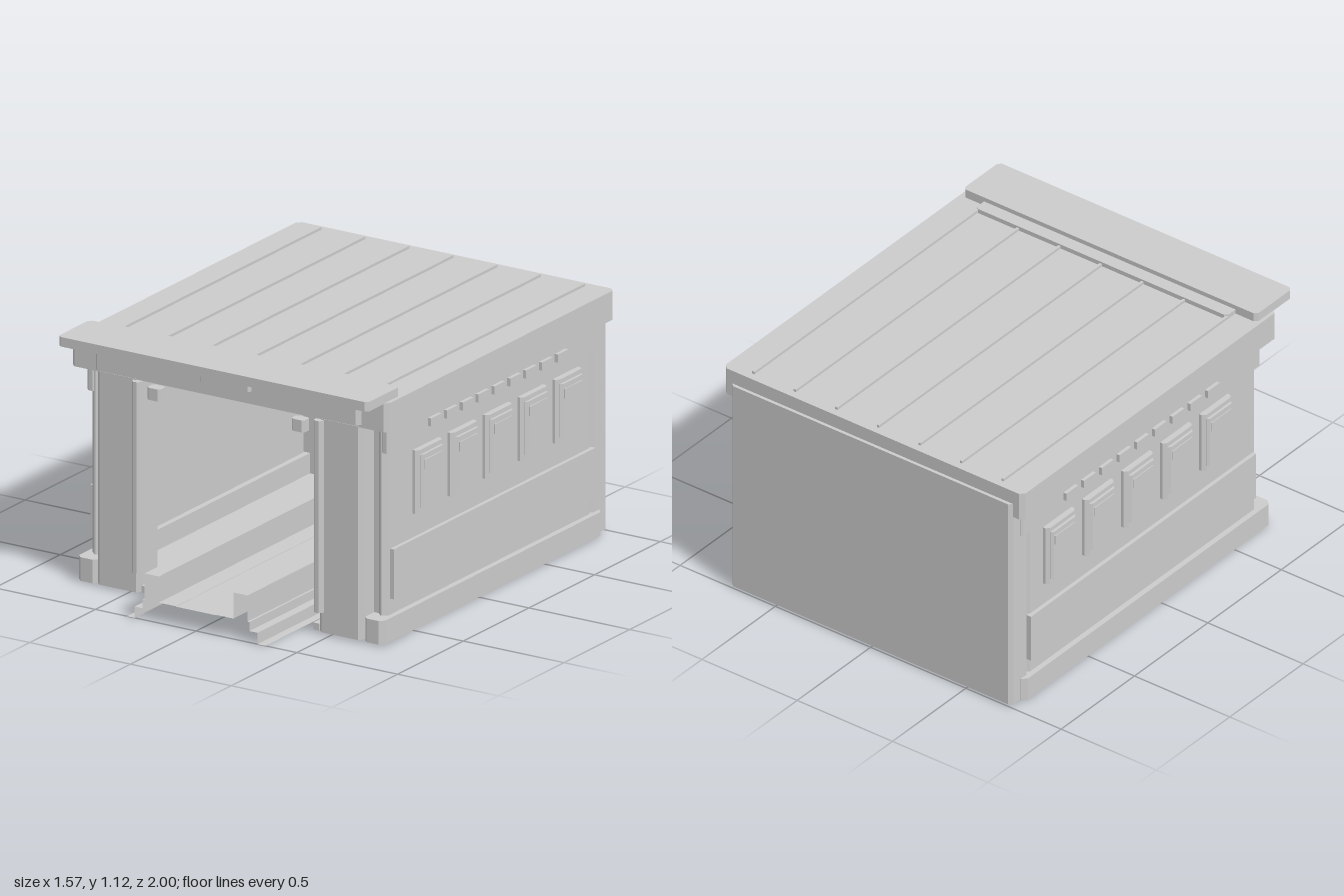
import * as THREE from 'three';

export function createModel() {
  const root = new THREE.Group();
  root.name = 'depotShed';
  const grey = new THREE.MeshStandardMaterial({ color: 0xcccccc, side: THREE.DoubleSide });
  grey.name = 'plainGrey';

  const add = (name, geo, parent = root) => {
    const m = new THREE.Mesh(geo, grey);
    m.name = name;
    parent.add(m);
  };
  // Box from its minimum and maximum on each axis
  const box = (name, x0, x1, y0, y1, z0, z1, parent) => {
    const g = new THREE.BoxGeometry(x1 - x0, y1 - y0, z1 - z0);
    g.translate((x0 + x1) / 2, (y0 + y1) / 2, (z0 + z1) / 2);
    add(name, g, parent);
  };
  // Upright block whose vertical edges are cut by c
  const slab = (name, x0, x1, y0, y1, z0, z1, c, parent) => {
    const s = new THREE.Shape([
      [x0 + c, -z1], [x1 - c, -z1], [x1, -z1 + c], [x1, -z0 - c],
      [x1 - c, -z0], [x0 + c, -z0], [x0, -z0 - c], [x0, -z1 + c],
    ].map(([x, y]) => new THREE.Vector2(x, y)));
    const g = new THREE.ExtrudeGeometry(s, { depth: y1 - y0, bevelEnabled: false });
    g.rotateX(-Math.PI / 2).translate(0, y0, 0);
    add(name, g, parent);
  };

  // Roof, ribs and front parapet
  slab('roof', -0.787, 0.787, 0.947, 1.075, -0.985, 0.75, 0.02);
  slab('roofFascia', -0.658, 0.658, 0.96, 1.075, 0.72, 0.77, 0.016);
  for (let i = -3; i <= 3; i++)
    box('roofRib', i * 0.218 - 0.006, i * 0.218 + 0.006, 1.075, 1.087, -0.95, 0.6);
  slab('parapetStep', -0.66, 0.66, 1.075, 1.095, 0.57, 0.7, 0.015);
  slab('parapet', -0.77, 0.77, 1.073, 1.115, 0.63, 0.875, 0.015);
  slab('blankSign', -0.125, 0.125, 1.012, 1.055, 0.76, 0.788, 0.008);

  // Back wall with end stop
  slab('backWall', -0.738, 0.738, 0.01, 1.012, -1, -0.88, 0.016);
  slab('endStop', -0.247, 0.247, 0.08, 0.3, -0.885, -0.84, 0.01);

  // One side of the building, built at +x
  const buildSide = () => {
    const side = new THREE.Group();
    slab('sideWall', 0.685, 0.735, 0.01, 0.95, -0.89, 0.682, 0.022, side);
    box('sideFloor', 0.44, 0.735, 0.005, 0.02, -0.89, 0.7, side);
    box('floorKerb', 0.412, 0.44, 0.01, 0.04, -0.88, 0.74, side);
    slab('frontPillar', 0.44, 0.662, 0.01, 0.95, 0.6, 0.752, 0.02, side);
    box('pillarReturn', 0.62, 0.71, 0.01, 0.95, 0.61, 0.66, side);
    slab('doorJamb', 0.43, 0.472, 0.1, 0.945, 0.66, 0.775, 0.012, side);
    slab('plinth', 0.66, 0.76, 0.006, 0.11, -0.935, 0.745, 0.02, side);
    box('lowerPanel', 0.73, 0.753, 0.18, 0.4, -0.885, 0.65, side);
    slab('upperBand', 0.71, 0.75, 0.828, 0.935, -0.94, 0.685, 0.01, side);
    slab('doorLamp', 0.325, 0.39, 0.882, 0.935, 0.73, 0.78, 0.01, side);

    for (let i = 0; i < 9; i++) {
      const z = 0.345 - i * 0.1206;
      box('vent', 0.74, 0.766, 0.866, 0.902, z - 0.04, z + 0.04, side);
    }

    // Windows: frame, raised shutter and a bar across it
    for (let i = 0; i < 5; i++) {
      const z = 0.382 - i * 0.266;
      slab('windowFrame', 0.72, 0.762, 0.505, 0.785, z - 0.097, z + 0.097, 0.014, side);
      slab('windowShutter', 0.73, 0.774, 0.53, 0.765, z - 0.083, z + 0.083, 0.01, side);
      box('windowBar', 0.76, 0.778, 0.7, 0.742, z - 0.068, z + 0.068, side);
    }
    return side;
  };
  const left = buildSide();
  left.name = 'leftSide';
  root.add(left);

  // Mirrored side: flip x and reverse the triangle order
  const right = buildSide();
  right.name = 'rightSide';
  right.traverse((m) => {
    if (!m.isMesh) return;
    const g = m.geometry.index ? m.geometry.toNonIndexed() : m.geometry;
    g.scale(-1, 1, 1);
    for (const a of Object.values(g.attributes)) {
      const n = a.itemSize;
      for (let t = 0; t < a.count; t += 3)
        for (let k = 0; k < n; k++) {
          const p = (t + 1) * n + k, q = (t + 2) * n + k;
          [a.array[p], a.array[q]] = [a.array[q], a.array[p]];
        }
    }
    g.computeVertexNormals();
    m.geometry = g;
  });
  root.add(right);

  // Thin folded-sheet track running out of the doorway
  const strip = (name, pts) => {
    for (let i = 0; i < pts.length - 1; i++) {
      const [x0, y0] = pts[i], [x1, y1] = pts[i + 1];
      const g = new THREE.PlaneGeometry(Math.hypot(x1 - x0, y1 - y0), 1.88);
      g.rotateX(-Math.PI / 2).rotateZ(Math.atan2(y1 - y0, x1 - x0));
      g.translate((x0 + x1) / 2, (y0 + y1) / 2, 0.06);
      add(name, g);
    }
  };
  strip('centreDeck', [[-0.1, 0.088], [0.1, 0.088]]);
  for (const s of [-1, 1]) {
    strip('trackRail', [
      [0.1, 0.088], [0.1, 0.09], [0.185, 0.09], [0.185, 0.205], [0.255, 0.205], [0.255, 0.09],
      [0.265, 0.09], [0.265, 0.05], [0.305, 0.05], [0.305, 0], [0.343, 0],
    ].map(([x, y]) => [s * x, y]));
  }

  return root;
}
